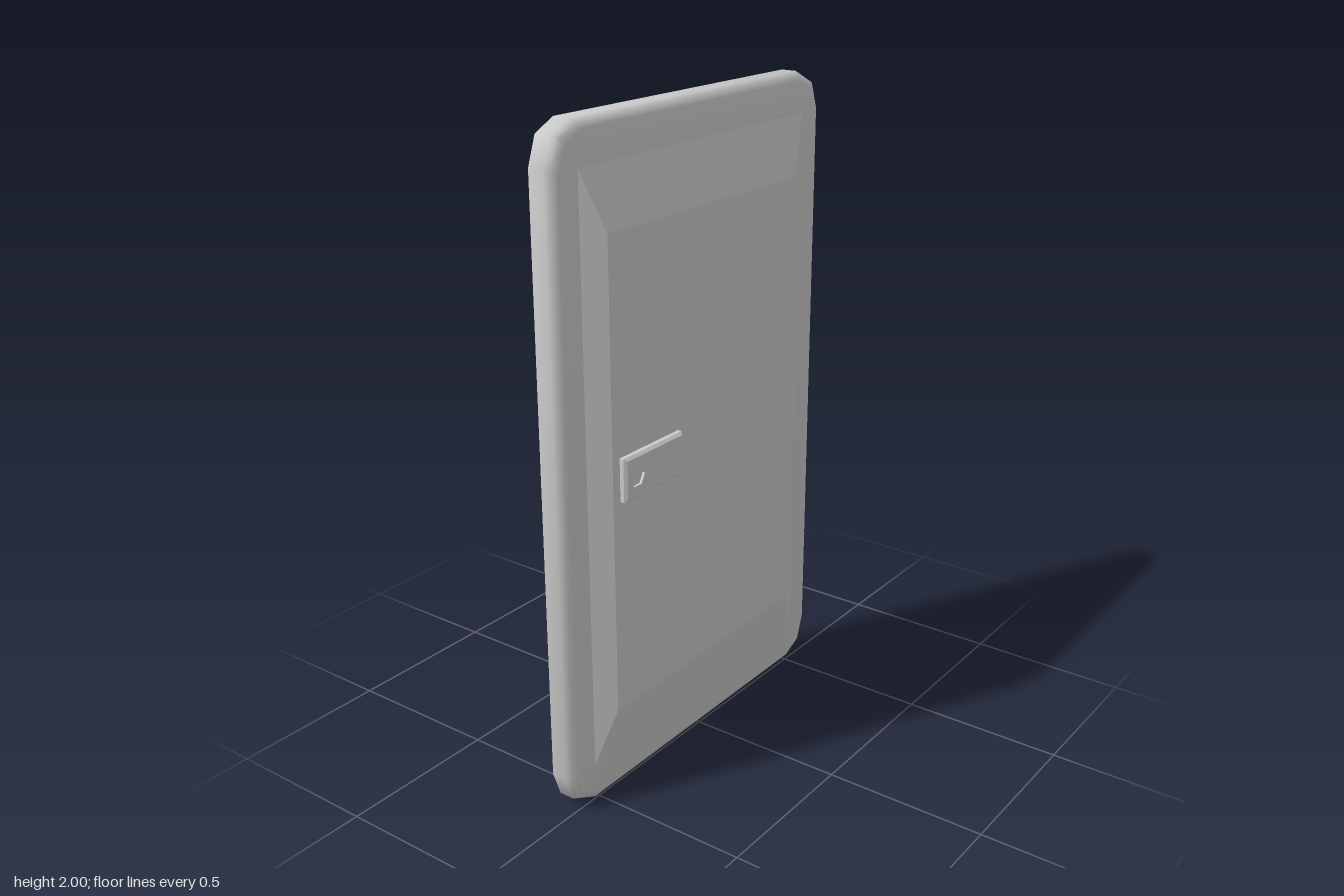
import * as THREE from 'three';
import { toCreasedNormals } from 'three/addons/utils/BufferGeometryUtils.js';

const material = new THREE.MeshStandardMaterial({ color: 0xcccccc });

function addMesh(parent, name, geometry) {
  const mesh = new THREE.Mesh(geometry, material);
  mesh.name = name;
  parent.add(mesh);
  return mesh;
}

// Rectangle outline with two-segment rounded corners, counter-clockwise from the front
function roundedLoop(insetX, insetY, z) {
  const hx = 0.624 - insetX, hy = 1 - insetY;
  const rx = 0.1 - insetX * 0.3, ry = 0.115 - insetX * 0.3;
  const loop = [];
  [[1, 1], [-1, 1], [-1, -1], [1, -1]].forEach(([sx, sy], corner) => {
    for (let k = 0; k <= 2; k++) {
      const a = (corner + k / 2) * Math.PI / 2;
      loop.push([sx * (hx - rx) + rx * Math.cos(a), 1 + sy * (hy - ry) + ry * Math.sin(a), z]);
    }
  });
  return loop;
}

function rectLoop(x0, x1, y0, y1, z) {
  return [[x1, y1, z], [x0, y1, z], [x0, y0, z], [x1, y0, z]];
}

// Skin over a run of loops, from the front cap outward to the back cap
function loft(loops, crease) {
  const p = [];
  const tri = (a, b, c) => p.push(...a, ...b, ...c);
  const n = loops[0].length;
  const last = loops[loops.length - 1];
  for (let j = 1; j < n - 1; j++) {
    tri(loops[0][0], loops[0][j], loops[0][j + 1]);
    tri(last[0], last[j + 1], last[j]);
  }
  for (let i = 0; i < loops.length - 1; i++) {
    for (let j = 0; j < n; j++) {
      const k = (j + 1) % n, a = loops[i], b = loops[i + 1];
      tri(a[j], b[j], b[k]);
      tri(a[j], b[k], a[k]);
    }
  }
  const g = new THREE.BufferGeometry();
  g.setAttribute('position', new THREE.Float32BufferAttribute(p, 3));
  return toCreasedNormals(g, crease);
}

// Handle face: a plate with a hexagonal hole, its foot flared out into a bevel
function handleFace(halfW, halfH, bevel) {
  const w = halfW - bevel, h = halfH - bevel;
  const shape = new THREE.Shape([[w, h], [-w, h], [-w, -h], [w, -h]].map(([x, y]) => new THREE.Vector2(x, y)));
  const hex = [];
  for (let i = 0; i < 6; i++) {
    const a = -i * Math.PI / 3;
    hex.push(new THREE.Vector2(-0.08 + 0.032 * Math.cos(a), 0.032 * Math.sin(a)));
  }
  shape.holes.push(new THREE.Path(hex));
  const g = new THREE.ExtrudeGeometry(shape, { depth: bevel, bevelEnabled: false });
  const pos = g.attributes.position;
  for (let i = 0; i < pos.count; i++) {
    const x = pos.getX(i);
    if (pos.getZ(i) === 0 && Math.abs(x) > 0.12) {
      pos.setXY(i, Math.sign(x) * halfW, Math.sign(pos.getY(i)) * halfH);
    }
  }
  g.computeVertexNormals();
  return g;
}

export function createModel() {
  const group = new THREE.Group();
  const door = new THREE.Group();
  door.name = 'door';
  group.add(door);

  // Door slab: softened front edge, flat back rim and a shallow recess,
  // whose top and bottom walls slope more than its sides
  const profile = [
    [0.025, 0.025, 0.006], [0.007, 0.007, -0.003], [0, 0, -0.022],
    [0, 0, -0.071], [0.05, 0.05, -0.071], [0.072, 0.116, -0.035],
  ];
  addMesh(door, 'doorSlab', loft(profile.map((ring) => roundedLoop(...ring)), 0.9));

  // Raised front panel with wide bevels, narrower on one side
  addMesh(door, 'raisedPanel', loft([
    rectLoop(-0.47, 0.418, 0.295, 1.705, 0.052),
    rectLoop(-0.53, 0.533, 0.107, 1.893, 0.002),
  ], 0.05));

  // Handle: a block topped by a bevelled face with a hexagonal socket
  const handle = new THREE.Group();
  handle.name = 'handle';
  handle.position.set(-0.307, 1.01, 0);
  door.add(handle);
  addMesh(handle, 'handleBase', new THREE.BoxGeometry(0.265, 0.13, 0.02)).position.z = 0.055;
  addMesh(handle, 'handleFace', handleFace(0.1325, 0.065, 0.008)).position.z = 0.065;

  // The door stands very slightly ajar
  door.rotation.y = 0.0065;
  return group;
}
